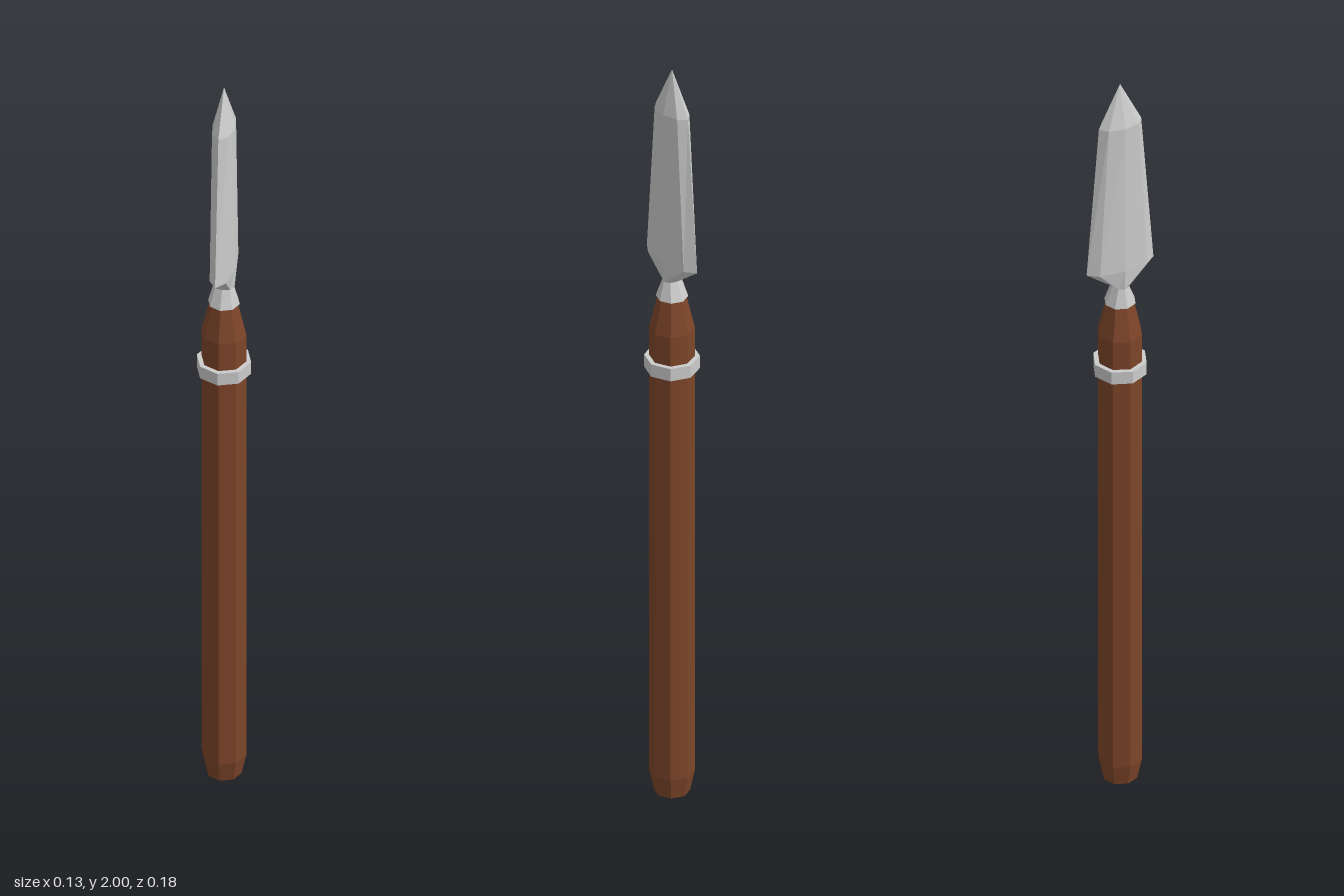
import * as THREE from 'three';

const SIDES = 8;

// Octagonal loft: each ring is [y, half width in x, half depth in z]
function loft(name, rings, material) {
  const pos = [];
  const index = [];
  for (const [y, rx, rz] of rings) {
    for (let i = 0; i < SIDES; i++) {
      const a = (i / SIDES) * Math.PI * 2;
      pos.push(Math.sin(a) * rx, y, Math.cos(a) * rz);
    }
  }
  for (let r = 0; r < rings.length - 1; r++) {
    for (let i = 0; i < SIDES; i++) {
      const j = (i + 1) % SIDES;
      const a = r * SIDES + i, b = r * SIDES + j;
      index.push(a, b, b + SIDES, a, b + SIDES, a + SIDES);
    }
  }
  const geometry = new THREE.BufferGeometry();
  geometry.setAttribute('position', new THREE.Float32BufferAttribute(pos, 3));
  geometry.setIndex(index);
  const flat = geometry.toNonIndexed();
  flat.computeVertexNormals();
  const mesh = new THREE.Mesh(flat, material);
  mesh.name = name;
  return mesh;
}

export function createModel() {
  const model = new THREE.Group();
  model.name = 'spear';
  const wood = new THREE.MeshStandardMaterial({ color: 0x7d4529, flatShading: true });
  const metal = new THREE.MeshStandardMaterial({ color: 0xcccccc, flatShading: true });

  // Wooden shaft, chamfered at the foot and tapered to the socket
  model.add(loft('shaft', [
    [0, 0, 0],
    [0, 0.043, 0.043],
    [0.055, 0.055, 0.055],
    [1.285, 0.055, 0.055],
    [1.375, 0.034, 0.034],
    [1.375, 0, 0],
  ], wood));

  // Metal band around the shaft
  const band = new THREE.Mesh(new THREE.CylinderGeometry(0.067, 0.067, 0.034, SIDES), metal);
  band.name = 'band';
  band.position.y = 1.19;
  model.add(band);

  // Socket, neck and leaf-shaped blade, thin in x and broad in z
  model.add(loft('blade', [
    [1.372, 0, 0],
    [1.372, 0.039, 0.039],
    [1.42, 0.026, 0.02],
    [1.473, 0.028, 0.09],
    [1.885, 0.028, 0.057],
    [2, 0, 0],
  ], metal));

  return model;
}
